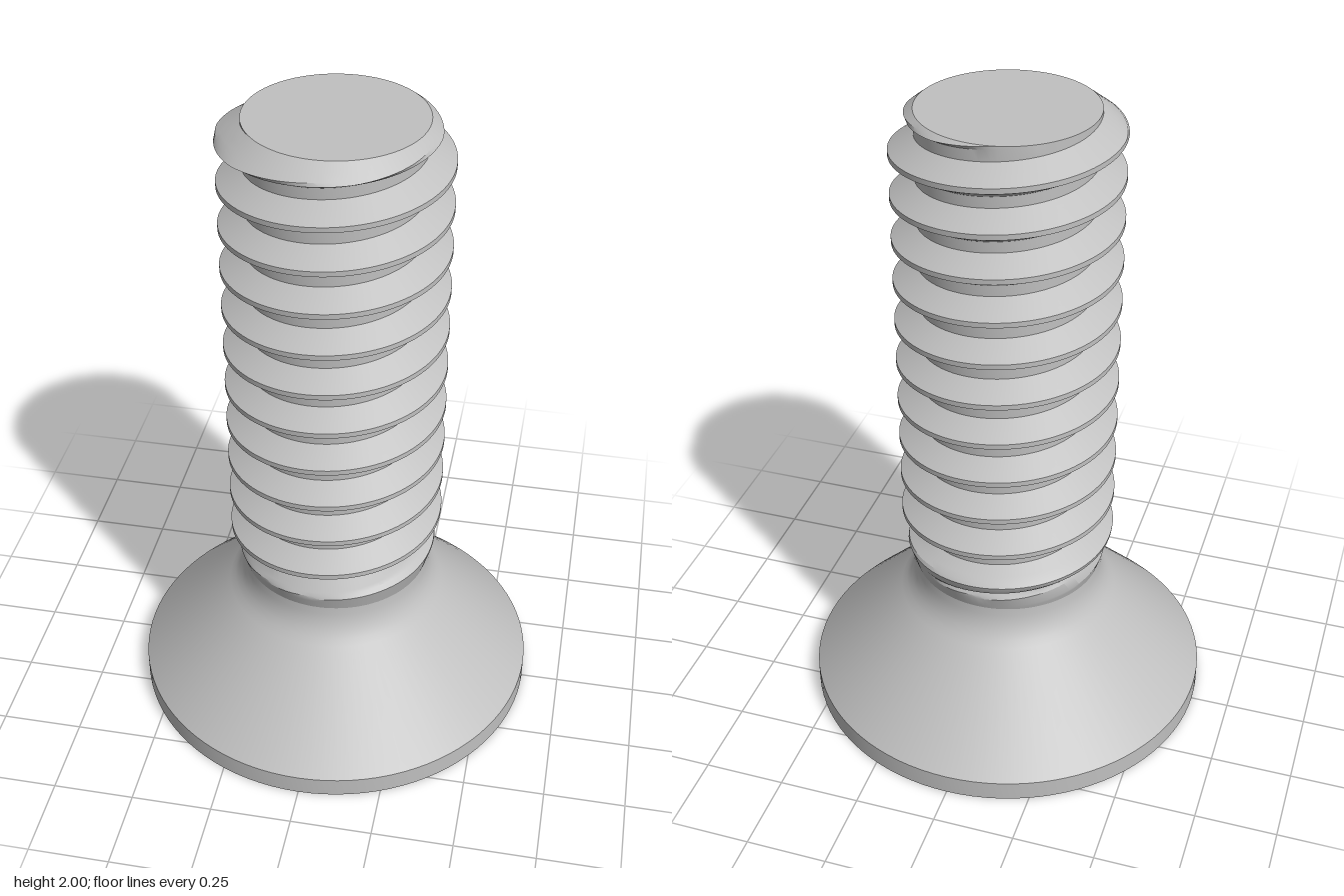
import * as THREE from 'three';
import { toCreasedNormals } from 'three/addons/utils/BufferGeometryUtils.js';

const COLS = 96;
const PITCH = 0.134, CREST_Y = 1.835;         // thread pitch, crest height at the front
const CREST_R = 0.333, ROOT_R = 0.26, HALF_CREST = 0.008, HALF_BASE = 0.05;
const NECK_Y = 0.47, NECK_R = 0.295, TOP_Y = 2;

const steel = new THREE.MeshStandardMaterial({ color: 0xc0c0c0 });
steel.name = 'steel';

// Closed-around surface from rows; at(row, angle) returns [radius, height].
function ringSurface(name, rows, at) {
  const pos = [];
  const point = (i, j) => {
    const a = (j / COLS) * Math.PI * 2;
    const [r, y] = at(rows[i], a);
    return new THREE.Vector3(r * Math.sin(a), y, r * Math.cos(a)).multiplyScalar(100);
  };
  const tri = new THREE.Triangle();
  const add = (a, b, c) => {
    tri.set(a, b, c);
    if (tri.getArea() > 1e-5) pos.push(...a.toArray(), ...b.toArray(), ...c.toArray());
  };
  for (let i = 0; i < rows.length - 1; i++) {
    for (let j = 0; j < COLS; j++) {
      const a = point(i, j), b = point(i, j + 1), c = point(i + 1, j + 1), d = point(i + 1, j);
      add(a, b, d);
      add(b, c, d);
    }
  }
  let geo = new THREE.BufferGeometry();
  geo.setAttribute('position', new THREE.Float32BufferAttribute(pos, 3));
  // creased at a large scale so that close vertices stay apart
  geo = toCreasedNormals(geo, 0.45).scale(0.01, 0.01, 0.01);
  const mesh = new THREE.Mesh(geo, steel);
  mesh.name = name;
  return mesh;
}

// Radius of the threaded shank at an angle and height
function threadRadius(a, y) {
  const turns = (y - CREST_Y) / PITCH - a / (Math.PI * 2);
  const d = Math.abs(turns - Math.round(turns)) * PITCH;
  let r = THREE.MathUtils.clamp(CREST_R - (d - HALF_CREST) * Math.sqrt(3), ROOT_R, CREST_R);
  r = Math.max(r, 0.32 - (y - 0.5) * 0.6);           // groove runs out near the neck
  r = Math.min(r, NECK_R + (y - NECK_Y) * 0.3);      // flare out of the neck
  return Math.min(r, ROOT_R + (TOP_Y - y) * 1.3);    // chamfered tip
}

export function createModel() {
  const group = new THREE.Group();
  group.name = 'countersunkScrew';

  // six-lobed drive socket, lobes lying along z
  const lobe = (a) => 0.25 + 0.04 * Math.cos(6 * a);
  group.add(ringSurface('driveSocket', ['centre', 'floor', 'lip', 'rim'], (row, a) => {
    const r = lobe(a);
    if (row === 'centre') return [0, 0.38];
    if (row === 'floor') return [r, 0.35];
    if (row === 'lip') return [r, (CREST_R - r) * 0.35];
    return [CREST_R, 0];
  }));

  // flat face, rim, cone and fillet into the neck
  const headProfile = [
    [CREST_R, 0], [0.632, 0], [0.632, 0.063], [0.345, 0.35], [0.328, 0.37],
    [0.313, 0.392], [0.302, 0.42], [0.297, 0.445], [NECK_R, NECK_Y],
  ];
  group.add(ringSurface('head', headProfile, (p) => p));

  // helical rows that follow the edges of the thread
  const rows = [];
  for (let k = -12; k <= 2; k++) {
    for (const side of [-1, 1]) {
      for (let s = 0; s <= 4; s++) {
        const t = side < 0 ? 1 - s / 4 : s / 4;
        rows.push(CREST_Y + k * PITCH + side * THREE.MathUtils.lerp(HALF_CREST, HALF_BASE, t));
      }
    }
  }
  group.add(ringSurface('threadedShank', rows, (row, a) => {
    const y = THREE.MathUtils.clamp(row + PITCH * a / (Math.PI * 2), NECK_Y, TOP_Y);
    return [threadRadius(a, y), y];
  }));

  // flat end of the shank
  group.add(ringSurface('tip', [ROOT_R, 0], (r) => [r, TOP_Y]));
  return group;
}
